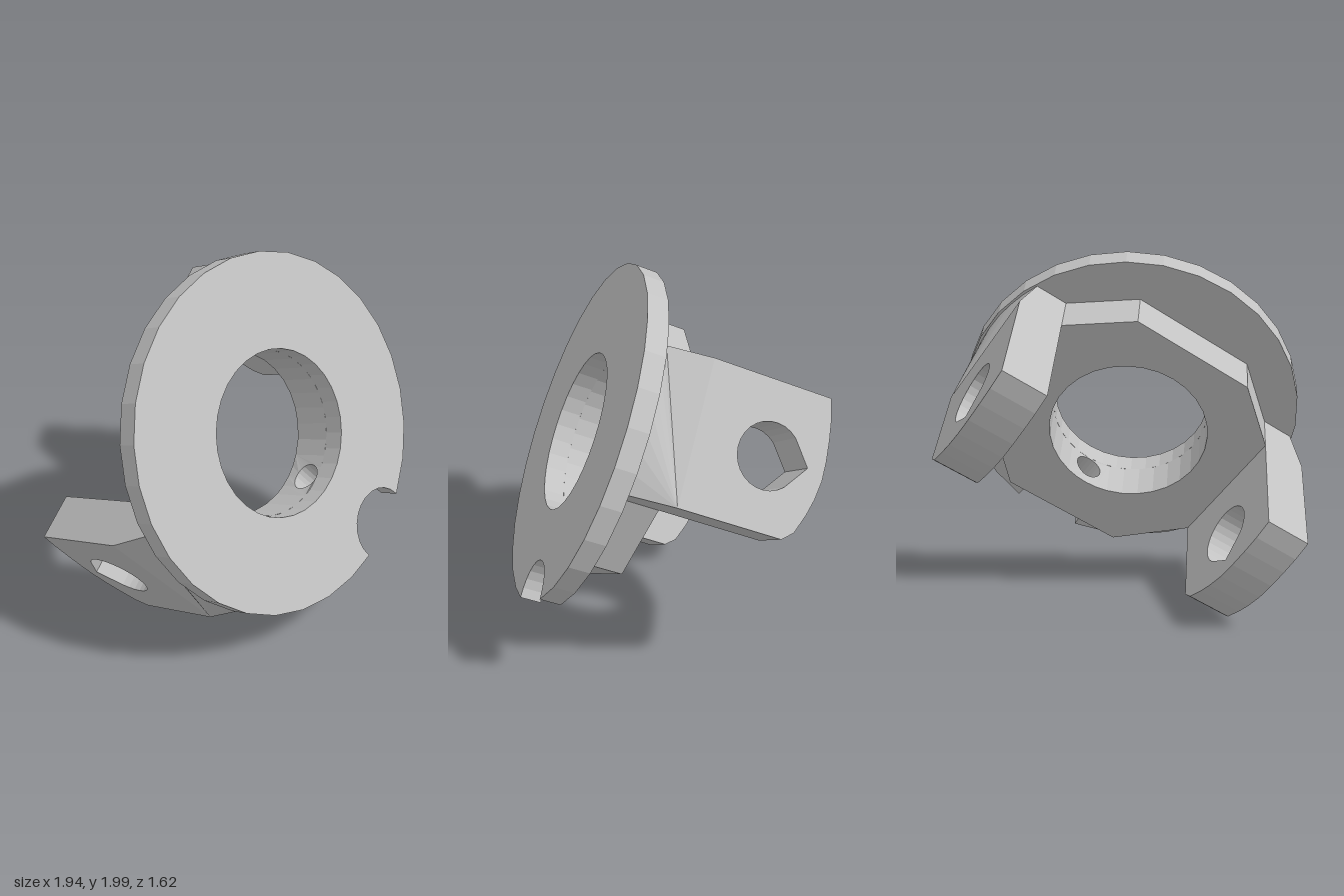
import * as THREE from 'three';

const BORE = 0.44, RIM = 0.945, DISC = 0.115, BACK = -0.343;
const HALF = 0.376, INNER = 0.668, OUTER = 0.923; // arm half width, inner and outer faces
const WALL = -0.70, SLOT = 0.13, PIN_Z = -0.2;
const rad = THREE.MathUtils.degToRad;
const v2 = (x, y) => new THREE.Vector2(x, y);

// n + 1 points on a circle from angle a to b (degrees)
function arc(cx, cy, r, a, b, n) {
  return Array.from({ length: n + 1 }, (_, i) => {
    const t = rad(a + (b - a) * i / n);
    return v2(cx + r * Math.cos(t), cy + r * Math.sin(t));
  });
}

function extrude(points, depth, hole) {
  const shape = new THREE.Shape(points);
  if (hole) shape.holes.push(new THREE.Path(hole));
  return new THREE.ExtrudeGeometry(shape, { depth, bevelEnabled: false });
}

// move vertices by a rule, then give every face its own flat normal
function reshape(geo, rule) {
  const p = geo.attributes.position, v = new THREE.Vector3();
  for (let i = 0; i < p.count; i++) {
    rule(v.fromBufferAttribute(p, i));
    p.setXYZ(i, v.x, v.y, v.z);
  }
  geo.computeVertexNormals();
  return geo;
}

const X = new THREE.Vector3(1, 0, 0), Y = new THREE.Vector3(0, 1, 0), Z = new THREE.Vector3(0, 0, 1);
const sideways = new THREE.Matrix4().makeBasis(Y, Z, X); // shape in y,z; depth along x
const upright = new THREE.Matrix4().makeBasis(Z, X, Y);  // shape in z,x; depth along y

export function createModel() {
  const metal = new THREE.MeshStandardMaterial({ color: 0xc2c2c2 });
  metal.name = 'light grey metal';
  const yoke = new THREE.Group();
  yoke.name = 'yoke';
  const add = (name, geo, rule = () => {}) => {
    const mesh = new THREE.Mesh(reshape(geo, rule), metal);
    mesh.name = name;
    yoke.add(mesh);
  };

  // round flange with a rounded notch in its rim
  const rim = [...arc(0, 0, RIM, -65, 247, 26), ...arc(0, -0.915, 0.2, 182.4, -2.4, 12)];
  add('flange', extrude(rim, DISC, arc(0, 0, BORE, 0, 348.75, 31)).translate(0, 0, -DISC));

  // eight-sided hub, open where the pin block sits
  const gap = Math.asin(SLOT / BORE) * 180 / Math.PI;
  const hub = [[SLOT, WALL], [0.355, WALL], [INNER, -HALF], [INNER, HALF], [0.355, 0.63],
    [-0.355, 0.63], [-INNER, HALF], [-INNER, -HALF], [-0.355, WALL], [-SLOT, WALL]].map(p => v2(...p));
  hub.push(...arc(0, 0, BORE, 270 - gap, -90 + gap, 28));
  add('hub', extrude(hub, -DISC - BACK).translate(0, 0, BACK));

  // block with the pin hole, its inner end curved to the bore
  const block = [];
  for (let i = 0; i <= 4; i++) block.push(v2(BACK, SLOT - SLOT * i / 2));
  for (let i = 0; i <= 4; i++) block.push(v2(-DISC, -SLOT + SLOT * i / 2));
  add('pinBlock',
    extrude(block, 0.3, arc(PIN_Z, 0, 0.078, 0, 342, 19)).applyMatrix4(upright).translate(0, WALL, 0),
    v => { if (v.y > -0.5) v.y = -Math.sqrt(BORE * BORE - v.x * v.x); });

  // two arms with curved tips and pointed holes
  const tip = [[HALF, BACK], [HALF, -0.993], [0.27, -1.02], [0.169, -1.034], [0.06, -1.043], [-0.041, -1.043],
    [-0.14, -1.026], [-0.226, -1.0], [-0.328, -0.957], [-HALF, -0.9], [-HALF, BACK]].map(p => v2(...p));
  const eye = [...arc(0, -0.738, 0.17, -42, 222, 20), v2(0, -0.952)];
  const root = [v2(-HALF, BACK), v2(HALF, BACK)];
  for (let i = 0; i <= 8; i++) root.push(v2(HALF - HALF * i / 4, -DISC));
  for (const side of [1, -1]) {
    const name = side > 0 ? 'left' : 'right';
    const start = side > 0 ? INNER : -OUTER;
    const place = geo => geo.applyMatrix4(sideways).translate(start, 0, 0);
    add(name + 'Arm', place(extrude(tip, OUTER - INNER, eye)));
    // the root blends from the flat arm to the round flange
    add(name + 'ArmRoot', place(extrude(root, OUTER - INNER)), v => {
      if (Math.abs(v.x) > 0.9 && v.z > -0.2) v.x = side * Math.sqrt(0.93 ** 2 - v.y ** 2);
    });
  }

  // turn the yoke about its axis, then tilt it back
  yoke.rotation.z = rad(35);
  const model = new THREE.Group();
  model.name = 'flangedYoke';
  const tilt = new THREE.Group();
  tilt.name = 'tilt';
  tilt.rotation.x = -Math.asin(0.4);
  tilt.position.set(0, 1.137, 0.441);
  tilt.add(yoke);
  model.add(tilt);
  return model;
}
